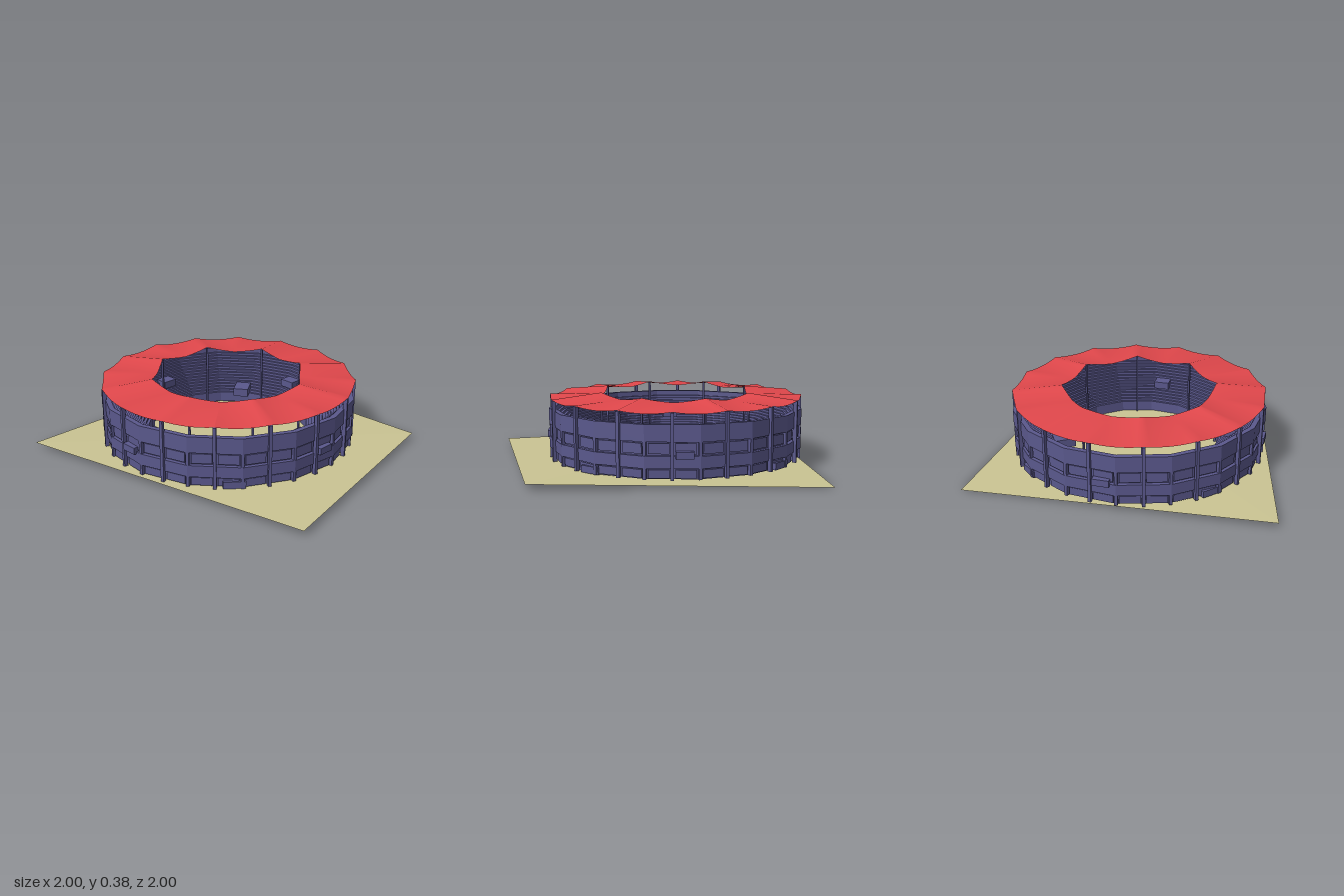
import * as THREE from 'three';

const SIDES = 16, STEP = Math.PI * 2 / SIDES, FLOOR = 0.028;
const paint = (color) => new THREE.MeshStandardMaterial({ color, flatShading: true, side: THREE.DoubleSide });

export function createModel() {
  const model = new THREE.Group();
  const blue = paint(0x5a588c), red = paint(0xe0474b), sand = paint(0xcac493);

  const add = (parent, name, geo, mat) => {
    const mesh = new THREE.Mesh(geo, mat);
    mesh.name = name;
    parent.add(mesh);
    return mesh;
  };
  const group = (name) => {
    const g = new THREE.Group();
    g.name = name;
    model.add(g);
    return g;
  };
  // Sixteen-sided ring turned from a profile of [radius, height]
  const ring = (parent, name, profile) => add(parent, name, new THREE.LatheGeometry(
    profile.map(([r, y]) => new THREE.Vector2(r, y)), SIDES, STEP / 2), blue);
  // Box placed by angle from the front, radius and height range
  const radialBox = (parent, name, angle, r, y0, y1, width, depth, twist = 0) => {
    const box = add(parent, name, new THREE.BoxGeometry(width, y1 - y0, depth), blue);
    box.position.set(r * Math.sin(angle), (y0 + y1) / 2, r * Math.cos(angle));
    box.rotation.y = angle + twist;
    return box;
  };

  // Ground: two triangles, the back corner dipping
  const ground = new THREE.BufferGeometry();
  ground.setAttribute('position', new THREE.Float32BufferAttribute([
    -1, FLOOR, 0.25, 0.42, FLOOR, 1, 1, FLOOR, -0.06, -0.06, 0, -1], 3));
  ground.setIndex([0, 1, 2, 0, 2, 3]);
  ground.computeVertexNormals();
  add(model, 'ground', ground, sand);

  // Outer wall: two projecting bands over recessed storeys
  const wall = group('outerWall');
  const band = (y0, y1) => [[0.645, y0], [0.672, y0], [0.672, y1], [0.645, y1], [0.645, y0]];
  ring(wall, 'recessedWall', [[0.652, 0.03], [0.652, 0.29]]);
  ring(wall, 'lowerBand', band(0.083, 0.142));
  ring(wall, 'upperBand', band(0.208, 0.29));

  // Stepped seating from the arena wall up to the rim
  const rows = 15, seats = [[0.43, FLOOR], [0.43, 0.085]];
  for (let i = 0; i < rows; i++) {
    const r = 0.43 + 0.215 * (i + 1) / rows, y = 0.085 + 0.19 * i / rows;
    seats.push([r, y], [r, y + 0.19 / rows]);
  }
  seats.push([0.645, 0.29]);
  ring(model, 'seating', seats);

  // Window frames, columns and canopy posts
  const posts = group('posts');
  for (let i = 0; i < SIDES; i++) {
    const a = i * STEP;
    radialBox(posts, 'canopyPost', a, 0.663, 0.03, 0.345, 0.016, 0.02);
    radialBox(posts, 'wallColumn', a + STEP / 2, 0.66, 0.03, 0.21, 0.016, 0.02);
    for (const s of [-0.25, 0.25]) {
      for (const [y0, y1] of [[0.036, 0.076], [0.15, 0.2]]) {
        radialBox(posts, 'wallPanel', a + s * STEP, 0.644 / Math.cos(STEP / 4), y0, y1, 0.1, 0.012, -s * STEP);
      }
    }
    if (i % 2) radialBox(posts, 'innerPost', a, 0.412, FLOOR, 0.37, 0.01, 0.01);
  }

  // Passages through the stands
  const passages = group('passages');
  for (let i = 0; i < 4; i++) {
    const a = THREE.MathUtils.degToRad(50 + 90 * i);
    radialBox(passages, 'upperPassage', a, 0.59, 0.13, 0.165, 0.085, 0.18);
    radialBox(passages, 'passageMouth', a, 0.51, 0.15, 0.19, 0.085, 0.07);
    radialBox(passages, 'lowerEntrance', THREE.MathUtils.degToRad(8 + 90 * i), 0.64, 0.03, 0.065, 0.11, 0.05);
  }
  for (let i = 0; i < 2; i++) {
    radialBox(passages, 'lowerPassage', THREE.MathUtils.degToRad(-6 + 180 * i), 0.42, 0.085, 0.13, 0.085, 0.11);
  }

  // Tent canopy: ribs at every corner, cloth sagging between them
  const sub = 8, rings = 6, n = SIDES * sub, pos = [], index = [];
  const rib = (k) => {
    const a = k * STEP, r = k % 2 ? 0.41 : 0.379;
    return {
      inner: new THREE.Vector3(r * Math.sin(a), k % 2 ? 0.375 : 0.353, r * Math.cos(a)),
      outer: new THREE.Vector3(0.674 * Math.sin(a), 0.349, 0.674 * Math.cos(a)),
    };
  };
  for (let i = 0; i <= n; i++) {
    const k = Math.floor(i / sub), t = (i % sub) / sub;
    const A = rib(k), B = rib(k + 1);
    const inner = A.inner.lerp(B.inner, t), outer = A.outer.lerp(B.outer, t);
    const sag = 4 * t * (1 - t);
    inner.y -= 0.003 * sag;
    outer.y -= 0.012 * sag;
    for (let j = 0; j <= rings; j++) {
      const p = inner.clone().lerp(outer, j / rings);
      pos.push(p.x, p.y, p.z);
      if (i < n && j < rings) {
        const a = i * (rings + 1) + j, b = a + rings + 1;
        index.push(a, a + 1, b, a + 1, b + 1, b);
      }
    }
  }
  const canopy = new THREE.BufferGeometry();
  canopy.setAttribute('position', new THREE.Float32BufferAttribute(pos, 3));
  canopy.setIndex(index);
  canopy.computeVertexNormals();
  const canopyMat = red.clone();
  canopyMat.flatShading = false;
  add(model, 'canopy', canopy, canopyMat);

  return model;
}
